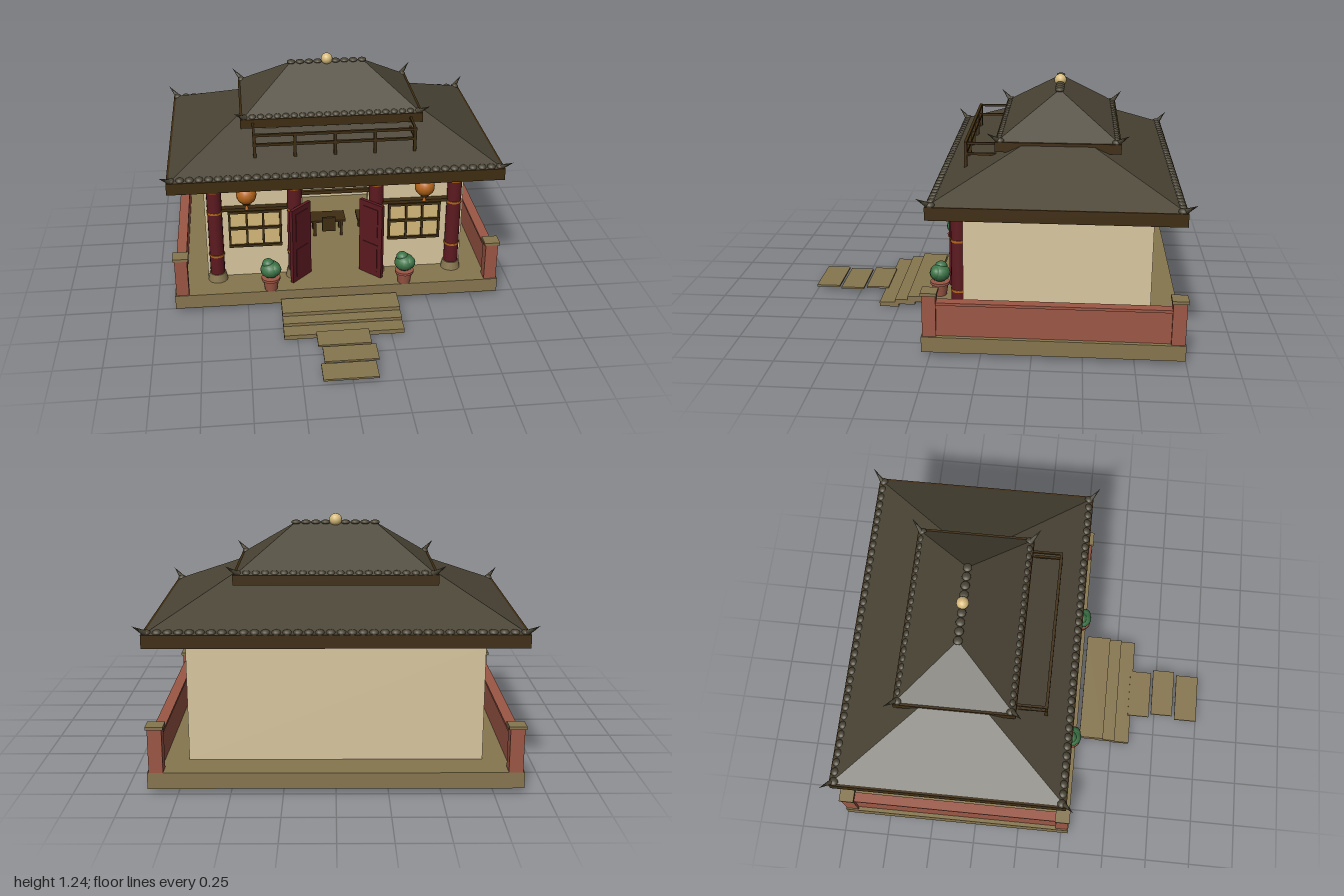
import * as THREE from 'three';

const mat = (name, color, side = THREE.FrontSide) => {
  const m = new THREE.MeshStandardMaterial({ color, side });
  m.name = name;
  return m;
};

export function createModel() {
  const wall = mat('cream plaster', 0xd9c7a0), stone = mat('stone', 0x87764f);
  const roof = mat('roof tile', 0x4a4435), wood = mat('dark wood', 0x3f2d12);
  const red = mat('dark red wood', 0x5c1a20), brick = mat('brick', 0x9c5745);
  const orange = mat('orange', 0xb5651a), green = mat('leaf green', 0x3c7346);
  const slate = mat('board green', 0x38594d), gold = mat('pale gold', 0xd6ba7a);
  const root = new THREE.Group();
  root.name = 'pavilion';

  const add = (name, geo, m, x = 0, y = 0, z = 0) => {
    const mesh = new THREE.Mesh(geo, m);
    mesh.name = name;
    mesh.position.set(x, y, z);
    root.add(mesh);
    return mesh;
  };
  // Box given by its limits on each axis
  const box = (name, m, x0, x1, y0, y1, z0, z1) =>
    add(name, new THREE.BoxGeometry(x1 - x0, y1 - y0, z1 - z0), m, (x0 + x1) / 2, (y0 + y1) / 2, (z0 + z1) / 2);
  const cyl = (name, m, x, y0, y1, z, rTop, rBottom = rTop, n = 16) =>
    add(name, new THREE.CylinderGeometry(rTop, rBottom, y1 - y0, n), m, x, (y0 + y1) / 2, z);
  const ball = (name, m, x, y, z, r, sy = 1) => {
    const b = add(name, new THREE.SphereGeometry(r, 14, 10), m, x, y, z);
    b.scale.y = sy;
    return b;
  };

  // Platform, steps and path
  box('platform', stone, -0.895, 0.895, 0.025, 0.105, -0.995, 0.29);
  [[0.03, 0.063, 0.31, 0.45], [0.015, 0.042, 0.41, 0.52], [0, 0.025, 0.5, 0.605]].forEach(([y0, y1, z0, z1]) =>
    box('step', stone, -0.32, 0.32, y0, y1, z0, z1));
  [[-0.01, 0.59, 0.715], [0.01, 0.728, 0.855], [-0.01, 0.87, 1]].forEach(([x, z0, z1]) =>
    box('pathSlab', stone, x - 0.14, x + 0.14, 0.022, 0.032, z0, z1));

  // House walls, open at the doorway
  box('backWall', wall, -0.715, 0.715, 0.105, 0.68, -0.83, -0.8);
  for (const s of [-1, 1]) {
    const a = s * 0.715, b = s * 0.685;
    box('sideWall', wall, Math.min(a, b), Math.max(a, b), 0.105, 0.68, -0.8, 0.1);
  }
  const front = new THREE.Shape([[-0.685, 0.105], [-0.18, 0.105], [-0.18, 0.605], [0.18, 0.605], [0.18, 0.105],
    [0.685, 0.105], [0.685, 0.68], [-0.685, 0.68]].map(([x, y]) => new THREE.Vector2(x, y)));
  add('frontWall', new THREE.ExtrudeGeometry(front, { depth: 0.03, bevelEnabled: false }), wall, 0, 0, 0.07);
  box('doorLintel', wood, -0.19, 0.19, 0.602, 0.622, 0.07, 0.12);

  // Classroom board, desks and seats
  box('board', slate, -0.3, 0.3, 0.275, 0.535, -0.8, -0.785);
  for (const y of [0.27, 0.54]) box('boardFrame', orange, -0.31, 0.31, y - 0.008, y + 0.008, -0.8, -0.775);
  [[-0.22, 0.01, 0.48], [-0.1, 0.2, 0.405], [-0.2, 0.1, 0.325]].forEach(([x0, x1, y]) =>
    box('chalkLine', wall, x0, x1, y - 0.005, y + 0.005, -0.785, -0.782));
  for (const x of [-0.28, 0, 0.28]) {
    box('deskTop', wood, x - 0.105, x + 0.105, 0.2, 0.212, -0.4, -0.28);
    for (const dx of [-0.08, 0.08]) for (const z of [-0.385, -0.295])
      box('deskLeg', wood, x + dx - 0.008, x + dx + 0.008, 0.105, 0.2, z - 0.008, z + 0.008);
    box('seatBack', wood, x - 0.04, x + 0.04, 0.165, 0.255, -0.25, -0.235);
  }

  for (const s of [-1, 1]) {
    // Columns with stone feet, bands and capitals
    for (const x of [s * 0.66, s * 0.225]) {
      cyl('column', red, x, 0.15, 0.68, 0.125, 0.04);
      cyl('columnBase', stone, x, 0.105, 0.15, 0.125, 0.045, 0.055);
      cyl('columnCapital', orange, x, 0.655, 0.684, 0.125, 0.05, 0.042);
      for (const y of [0.265, 0.53]) cyl('columnBand', orange, x, y - 0.006, y + 0.006, 0.125, 0.043);
    }

    // Open door leaf with raised panels
    const leaf = box('doorLeaf', red, -0.078, 0.078, 0.108, 0.56, -0.01, 0.01);
    leaf.position.set(s * 0.197, 0.334, 0.163);
    leaf.rotation.y = -s * 0.8;
    for (const y of [-0.11, 0.11]) for (const z of [-0.011, 0.011]) {
      const panel = new THREE.Mesh(new THREE.BoxGeometry(0.1, 0.17, 0.006), red);
      panel.name = 'doorPanel';
      panel.position.set(0, y, z);
      leaf.add(panel);
    }

    // Lattice window and the beam above it
    const wx = s * 0.443;
    box('windowPane', gold, wx - 0.14, wx + 0.14, 0.3, 0.51, 0.1, 0.106);
    for (const y of [0.3, 0.41, 0.51])
      box('windowRail', wood, wx - 0.147, wx + 0.147, y - 0.007, y + 0.007, 0.1, 0.12);
    for (const dx of [-0.14, -0.045, 0.045, 0.14])
      box('windowBar', wood, wx + dx - 0.006, wx + dx + 0.006, 0.3, 0.51, 0.1, 0.118);
    box('windowBeam', wood, wx - 0.19, wx + 0.19, 0.528, 0.546, 0.1, 0.135);

    // Hanging lantern
    const lx = s * 0.485, lz = 0.165;
    ball('lantern', orange, lx, 0.645, lz, 0.055);
    cyl('lanternCord', wood, lx, 0.69, 0.715, lz, 0.004, 0.004, 6);
    for (const y of [0.592, 0.698]) cyl('lanternCap', wood, lx, y - 0.006, y + 0.006, lz, 0.022);
    cyl('lanternTassel', orange, lx, 0.555, 0.588, lz, 0.004, 0.012, 8);

    // Potted shrub
    const px = s * 0.37, pz = 0.262;
    cyl('pot', brick, px, 0.105, 0.17, pz, 0.045, 0.034);
    cyl('potRim', brick, px, 0.168, 0.182, pz, 0.052);
    ball('shrub', green, px, 0.23, pz, 0.056, 0.85);
    ball('shrub', green, px - 0.012, 0.262, pz - 0.005, 0.034, 0.85);
    ball('shrub', green, px + 0.022, 0.235, pz + 0.014, 0.036);

    // Low brick wall with posts
    const fx = s * 0.853;
    box('fenceWall', brick, fx - 0.02, fx + 0.02, 0.105, 0.268, -0.93, 0.22);
    box('fenceCoping', brick, fx - 0.027, fx + 0.027, 0.268, 0.282, -0.93, 0.22);
    for (const z of [0.25, -0.957]) {
      box('fencePost', brick, fx - 0.034, fx + 0.034, 0.105, 0.32, z - 0.034, z + 0.034);
      box('fencePostCap', stone, fx - 0.042, fx + 0.042, 0.32, 0.336, z - 0.04, z + 0.04);
    }
  }

  // Hipped roof on a wooden eave, with tile beads and corner horns
  const cz = -0.355;
  const hipRoof = (name, hx, hz, y0, y1, yTop, ridge, beads, beadR) => {
    box(name + 'Eave', wood, -hx, hx, y0, y1, cz - hz, cz + hz);
    const x = hx - 0.012, z = hz - 0.008;
    const a = [-x, y1, z], b = [x, y1, z], c = [x, y1, -z], d = [-x, y1, -z];
    const l = [-ridge, yTop, 0], r = [ridge, yTop, 0];
    const faces = [a, b, r, a, r, l, c, d, l, c, l, r, b, c, r, d, a, l];
    const geo = new THREE.BufferGeometry();
    geo.setAttribute('position', new THREE.Float32BufferAttribute(faces.flat(), 3));
    geo.computeVertexNormals();
    add(name + 'Slopes', geo, roof, 0, 0, cz);
    for (const sz of [-1, 1]) {
      for (let i = 0; i < beads; i++)
        ball(name + 'TileEnd', roof, (hx - beadR) * (2 * i / (beads - 1) - 1), y1 + 0.004, cz + sz * (hz - 0.026), beadR, 0.7);
      for (const sx of [-1, 1]) {
        const dir = new THREE.Vector3(sx * 0.06, 0.055, sz * 0.06).normalize();
        const horn = add(name + 'Horn', new THREE.ConeGeometry(0.018, 0.11, 8), roof,
          sx * (hx - 0.003), y1 + 0.022, cz + sz * (hz + 0.002));
        horn.quaternion.setFromUnitVectors(new THREE.Vector3(0, 1, 0), dir);
      }
    }
  };
  hipRoof('lowerRoof', 0.9, 0.615, 0.71, 0.775, 1.06, 0.335, 36, 0.023);
  hipRoof('upperRoof', 0.5, 0.315, 0.94, 0.99, 1.2, 0.2, 22, 0.021);

  // Ridge tiles and finial
  for (let i = 0; i < 9; i++) ball('ridgeTile', roof, -0.2 + i * 0.05, 1.198, cz, 0.024, 0.5);
  ball('finial', gold, 0, 1.21, cz, 0.033);

  // Small upper storey with windows
  box('upperStorey', wall, -0.42, 0.42, 0.85, 0.95, -0.63, -0.075);
  for (const x of [-0.3, 0.3]) box('upperWindow', gold, x - 0.08, x + 0.08, 0.9, 0.945, -0.075, -0.068);

  // Balcony railing
  for (const y of [0.91, 0.965]) {
    box('balconyRail', wood, -0.44, 0.44, y - 0.007, y + 0.007, 0.105, 0.12);
    for (const x of [-0.432, 0.432]) box('balconySideRail', wood, x - 0.006, x + 0.006, y - 0.006, y + 0.006, -0.06, 0.11);
  }
  for (const x of [-0.43, -0.215, 0, 0.215, 0.43])
    box('balconyPost', wood, x - 0.008, x + 0.008, 0.835, 0.968, 0.104, 0.12);

  return root;
}
